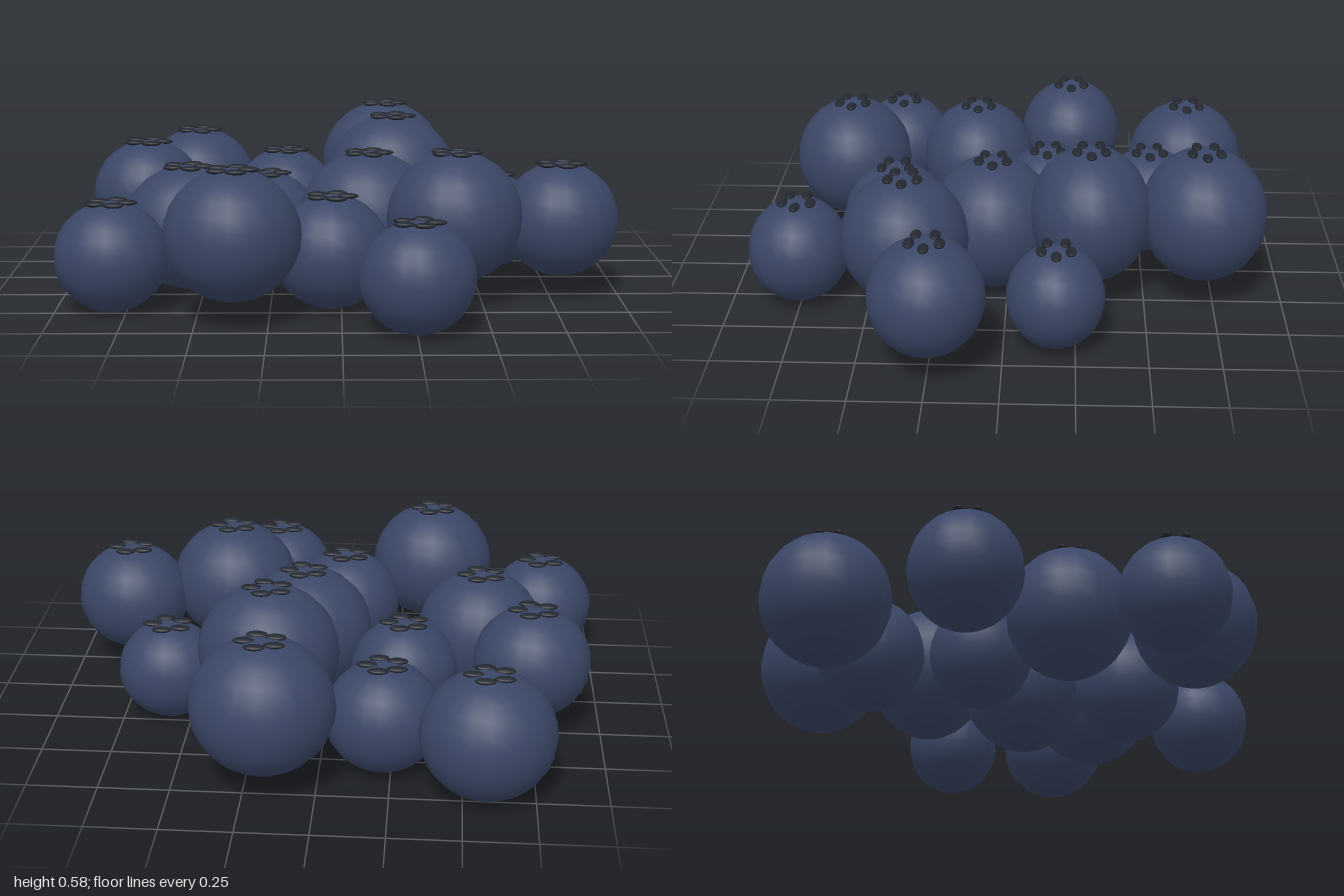
import * as THREE from 'three';

// Each berry: x, z, half width, half depth, height of its underside
const BERRIES = [
  [-0.58, -0.69, 0.235, 0.225, 0.005],
  [-0.22, -0.53, 0.206, 0.193, 0.005],
  [0.18, -0.71, 0.25, 0.23, 0.083],
  [0.2, -0.3, 0.255, 0.222, 0.083],
  [0.58, -0.18, 0.187, 0.172, 0.005],
  [-0.74, -0.23, 0.211, 0.198, 0.08],
  [-0.28, -0.14, 0.195, 0.182, 0.005],
  [-0.56, 0.14, 0.235, 0.219, 0.005],
  [0.1, 0.055, 0.253, 0.23, 0.005],
  [-0.8, 0.46, 0.2, 0.19, 0.005],
  [-0.035, 0.425, 0.208, 0.195, 0.005],
  [-0.37, 0.62, 0.235, 0.222, 0.083],
  [0.4, 0.355, 0.24, 0.227, 0.083],
  [0.785, 0.25, 0.211, 0.2, 0.08],
  [0.25, 0.755, 0.197, 0.184, 0.005],
];
const SEPALS = 5;
const RING = 0.058;

export function createModel() {
  const model = new THREE.Group();
  model.name = 'berryPile';

  const skin = new THREE.MeshStandardMaterial({ color: 0x3a4666 });
  const dark = new THREE.MeshStandardMaterial({ color: 0x23272f });
  const berryGeometry = new THREE.SphereGeometry(1, 20, 14);
  const sepalGeometry = new THREE.SphereGeometry(1, 12, 8);

  for (const [x, z, rx, rz, bottom] of BERRIES) {
    const ry = rx * 0.97;
    const berry = new THREE.Group();
    berry.name = 'berry';
    berry.position.set(x, bottom + ry, z);

    // Slightly flattened fruit
    const fruit = new THREE.Mesh(berryGeometry, skin);
    fruit.name = 'fruit';
    fruit.scale.set(rx, ry, rz);
    berry.add(fruit);

    // Ring of small flat sepals on the crown
    for (let i = 0; i < SEPALS; i++) {
      const a = (i / SEPALS) * Math.PI * 2;
      const sepal = new THREE.Mesh(sepalGeometry, dark);
      sepal.name = 'sepal';
      sepal.position.set(RING * Math.cos(a), ry - 0.004, RING * 0.92 * Math.sin(a));
      sepal.scale.set(0.037, 0.01, 0.019);
      berry.add(sepal);
    }
    model.add(berry);
  }
  return model;
}
